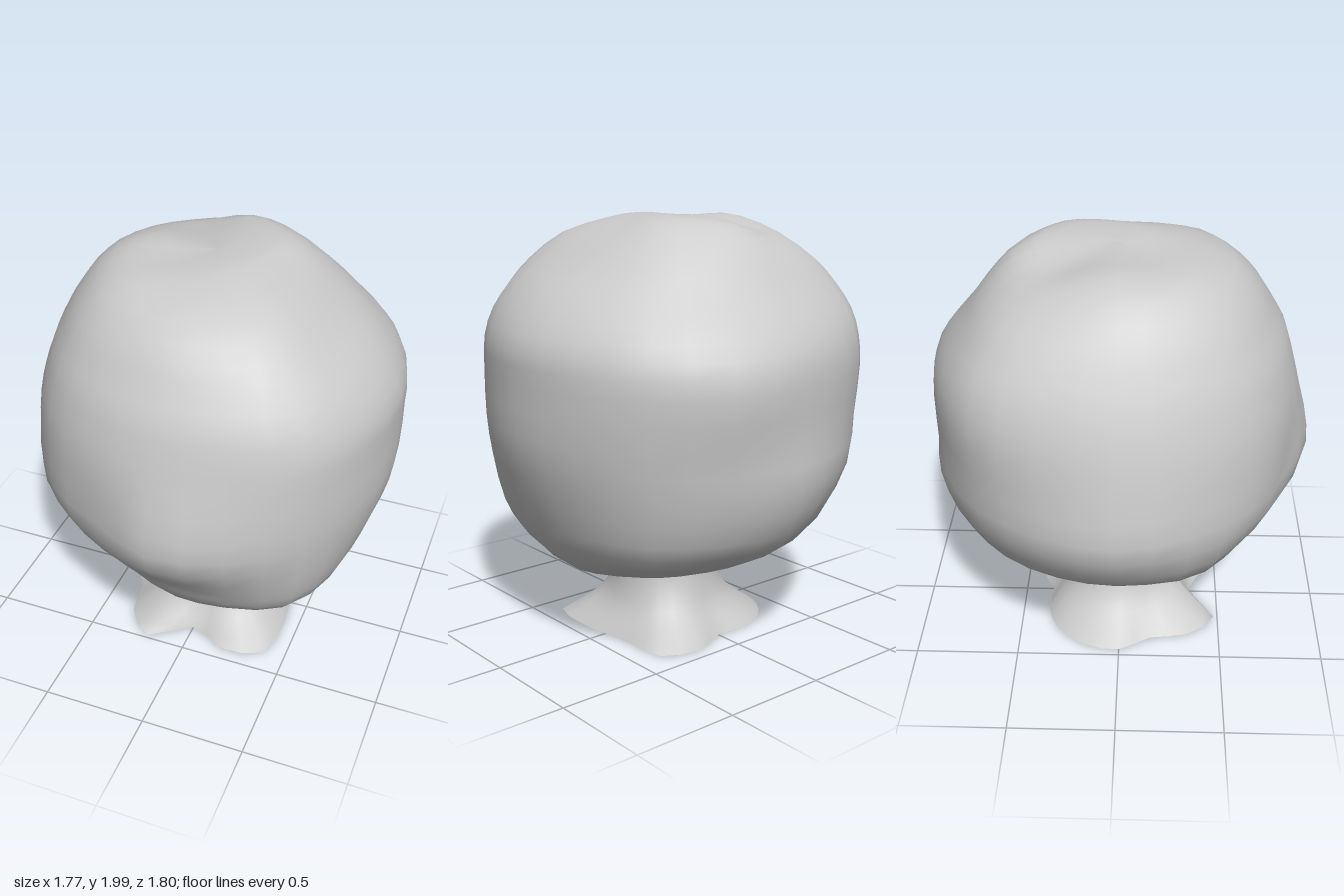
import * as THREE from 'three';

const SEG = 32;

// Closed smooth ring through points spaced evenly around the y axis, sampled SEG times
function ring(points) {
  const curve = new THREE.CatmullRomCurve3(points, true, 'catmullrom', 0.5);
  return Array.from({ length: SEG }, (_, i) => curve.getPoint(i / SEG));
}

function polar(r, angle, y) {
  return new THREE.Vector3(r * Math.cos(angle), y, r * Math.sin(angle));
}

// Skin of quads over a stack of rings (bottom to top), sharing vertices at the seam
function loft(rings) {
  const index = [];
  for (let j = 0; j < rings.length - 1; j++) {
    for (let i = 0; i < SEG; i++) {
      const a = j * SEG + i, b = j * SEG + (i + 1) % SEG;
      index.push(a, a + SEG, b, b, a + SEG, b + SEG);
    }
  }
  const geo = new THREE.BufferGeometry().setFromPoints(rings.flat());
  geo.setIndex(index);
  geo.computeVertexNormals();
  return geo;
}

// Crown: height, then radii in eight directions from +x towards +z
const CROWN = [
  [0.29, 0.002, 0.002, 0.002, 0.002, 0.002, 0.002, 0.002, 0.002],
  [0.31, 0.30, 0.33, 0.38, 0.28, 0.22, 0.20, 0.17, 0.22],
  [0.36, 0.55, 0.55, 0.50, 0.42, 0.38, 0.36, 0.40, 0.46],
  [0.48, 0.68, 0.73, 0.61, 0.56, 0.53, 0.57, 0.66, 0.71],
  [0.62, 0.75, 0.82, 0.69, 0.69, 0.72, 0.74, 0.81, 0.81],
  [0.85, 0.83, 0.87, 0.88, 0.82, 0.88, 0.86, 0.89, 0.87],
  [1.05, 0.87, 0.89, 0.90, 0.84, 0.88, 0.88, 0.88, 0.90],
  [1.28, 0.87, 0.89, 0.84, 0.83, 0.84, 0.90, 0.88, 0.92],
  [1.43, 0.87, 0.88, 0.80, 0.80, 0.80, 0.89, 0.86, 0.90],
  [1.56, 0.81, 0.84, 0.76, 0.76, 0.75, 0.85, 0.79, 0.82],
  [1.68, 0.71, 0.76, 0.69, 0.70, 0.69, 0.77, 0.70, 0.71],
  [1.78, 0.58, 0.67, 0.63, 0.64, 0.63, 0.68, 0.63, 0.62],
  [1.90, 0.42, 0.51, 0.51, 0.53, 0.53, 0.52, 0.53, 0.49],
  [1.97, 0.27, 0.29, 0.28, 0.37, 0.40, 0.37, 0.43, 0.38],
  [1.995, 0.18, 0.15, 0.10, 0.13, 0.25, 0.24, 0.31, 0.26],
  [1.995, 0.002, 0.002, 0.002, 0.002, 0.002, 0.002, 0.002, 0.002],
];

// Local lumps and dents in the crown: centre, push, width
const LUMPS = [
  [[0, 0.3, 0.28], [0, -0.03, 0], 0.25],
  [[-0.15, 1.98, 0.1], [0, -0.025, 0], 0.16],
  [[-0.17, 1.98, -0.27], [0, -0.055, 0], 0.18],
  [[0.32, 1.28, -0.87], [0.01, 0, -0.05], 0.25],
  [[-0.27, 1.0, 0.84], [0.015, 0, -0.05], 0.2],
  [[-0.66, 0.66, 0.36], [-0.04, 0, 0.02], 0.2],
].map(([c, push, width]) => ({ c: new THREE.Vector3(...c), push: new THREE.Vector3(...push), width }));

function addLumps(p) {
  const start = p.clone();
  for (const { c, push, width } of LUMPS) {
    p.addScaledVector(push, Math.exp(-start.distanceToSquared(c) / (width * width)));
  }
  return p;
}

function crownGeometry() {
  // A smooth meridian through the heights in each direction
  const meridians = [];
  for (let d = 0; d < 8; d++) {
    const pts = CROWN.map((row) => polar(row[d + 1], d * Math.PI / 4, row[0]));
    meridians.push(new THREE.CatmullRomCurve3(pts, false, 'catmullrom', 0.5));
  }
  const steps = (CROWN.length - 1) * 2;
  const rings = [];
  for (let j = 0; j <= steps; j++) {
    rings.push(ring(meridians.map((m) => m.getPoint(j / steps))).map(addLumps));
  }
  return loft(rings);
}

// Root flare: sixteen outline radii on the ground from +x towards +z
const ROOTS = [0.41, 0.46, 0.55, 0.47, 0.35, 0.52, 0.48, 0.40, 0.46, 0.46, 0.44, 0.40, 0.36, 0.47, 0.52, 0.42];
// Height and how far the trunk has spread towards the root outline
const FLARE = [[0, 1], [0.035, 0.8], [0.07, 0.6], [0.105, 0.42], [0.14, 0.28], [0.18, 0.17], [0.23, 0.08], [0.29, 0.01], [0.36, 0]];

function trunkGeometry() {
  return loft(FLARE.map(([y, f]) => ring(ROOTS.map((r, i) => {
    const p = polar(THREE.MathUtils.lerp(0.25, r, f), i * Math.PI / 8, y);
    p.x += 0.035 * (1 - f);
    return p;
  }))));
}

export function createModel() {
  const model = new THREE.Group();
  model.name = 'tree';
  const crown = new THREE.Mesh(crownGeometry(), new THREE.MeshStandardMaterial({ color: 0xcccccc }));
  crown.name = 'crown';
  // The trunk is an open shell
  const trunk = new THREE.Mesh(trunkGeometry(),
    new THREE.MeshStandardMaterial({ color: 0xcccccc, side: THREE.DoubleSide }));
  trunk.name = 'trunk';
  model.add(crown, trunk);
  return model;
}
